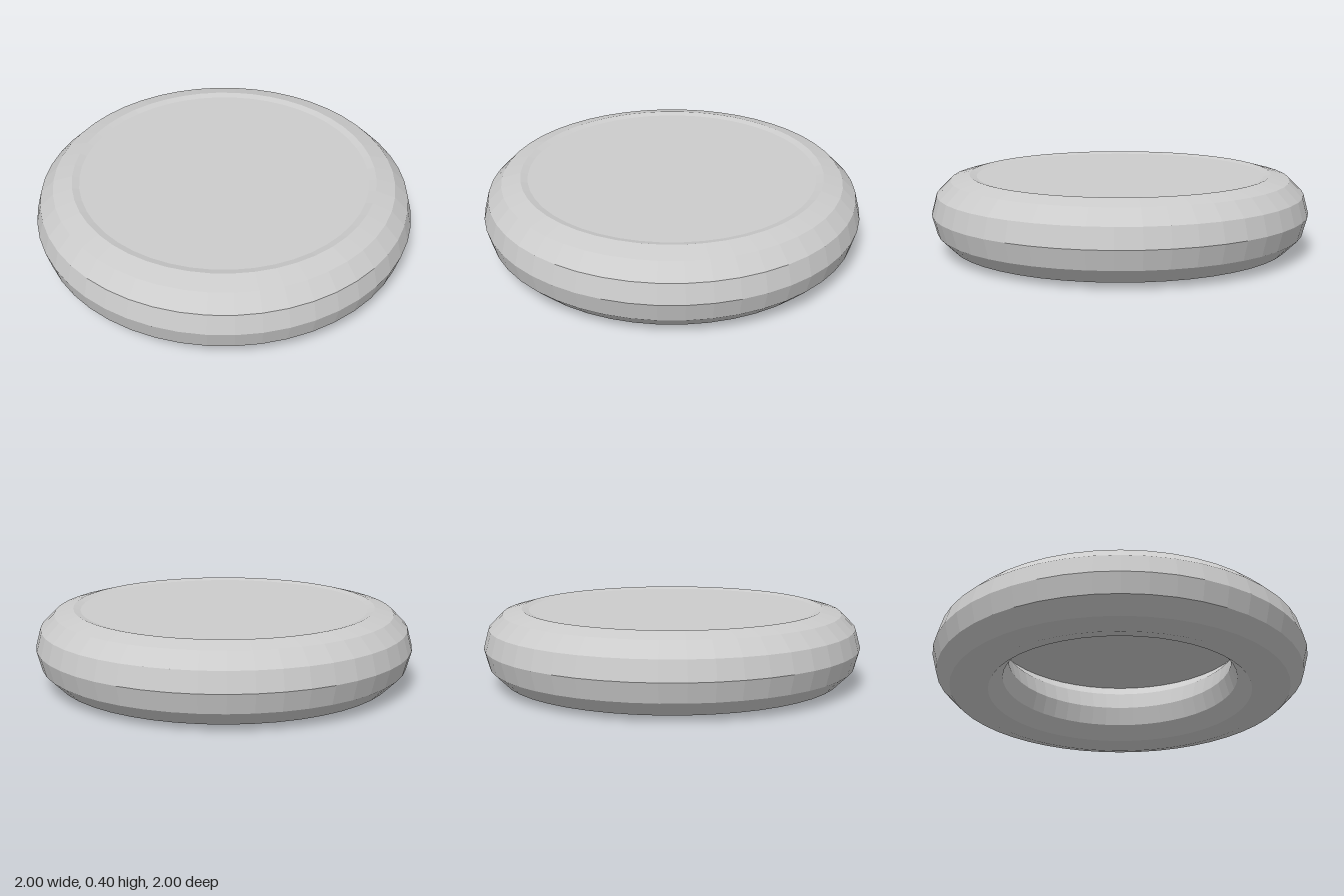
import * as THREE from 'three';

export function createModel() {
  const group = new THREE.Group();
  const material = new THREE.MeshStandardMaterial({ color: 0xcccccc, flatShading: true });
  const segments = 48;

  // Faceted ring lying flat on the ground
  const ring = new THREE.Mesh(new THREE.TorusGeometry(0.8, 0.2, 12, segments), material);
  ring.name = 'ring';
  ring.rotation.x = Math.PI / 2;
  ring.position.y = 0.2;
  group.add(ring);

  // Thin disc closing the ring just below its crest; the underside stays hollow
  const topDisc = new THREE.Mesh(new THREE.CylinderGeometry(0.765, 0.765, 0.02, segments), material);
  topDisc.name = 'topDisc';
  topDisc.position.y = 0.38;
  group.add(topDisc);

  return group;
}
